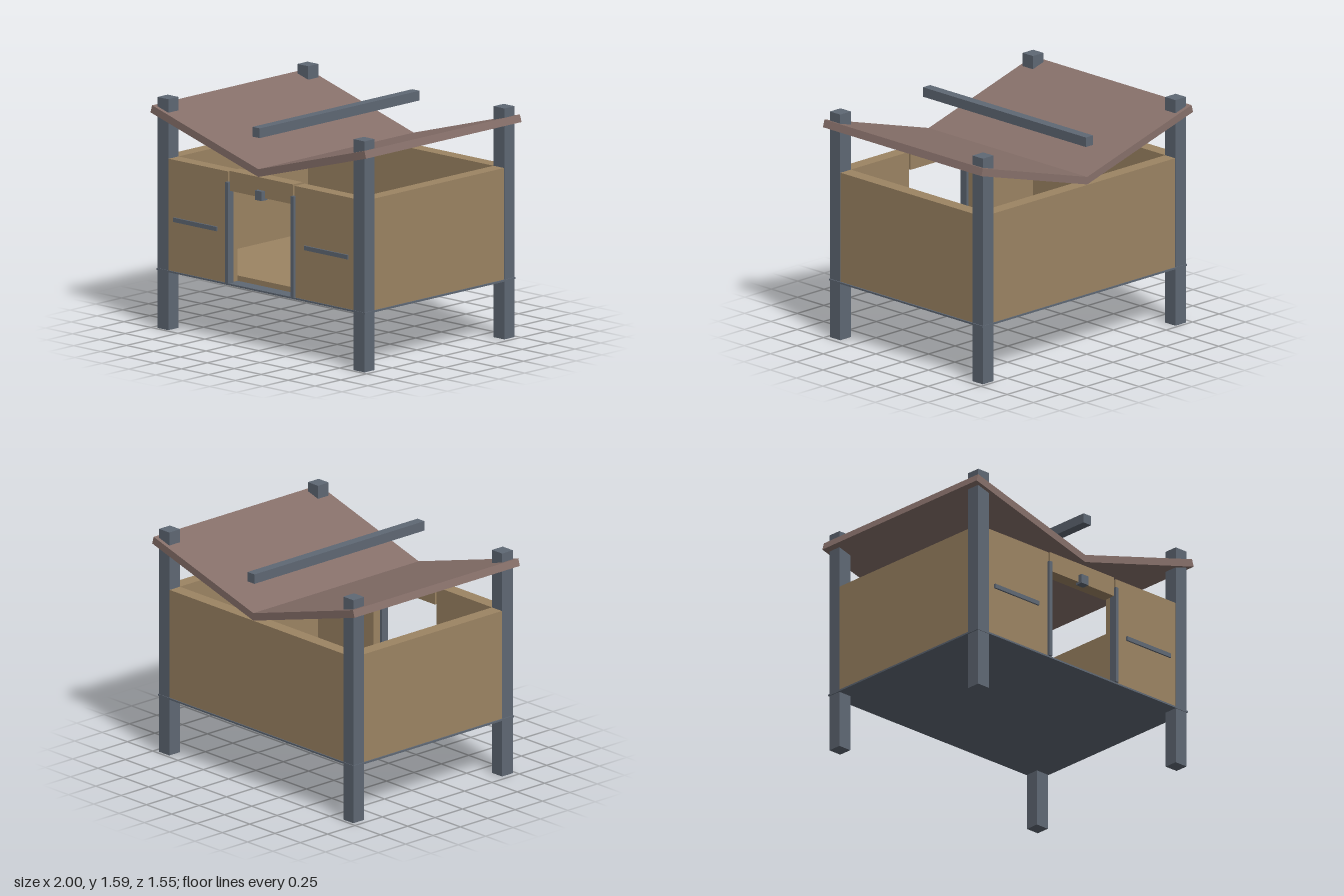
import * as THREE from 'three';

const slate = new THREE.MeshStandardMaterial({ color: 0x5f6874 });
slate.name = 'slate';
const tan = new THREE.MeshStandardMaterial({ color: 0x9c8463 });
tan.name = 'tan wood';
const brown = new THREE.MeshStandardMaterial({ color: 0x87706a });
brown.name = 'roof brown';

export function createModel() {
  const model = new THREE.Group();
  model.name = 'raisedHut';

  // Box given by its min and max on each axis
  function box(name, material, [x0, x1], [y0, y1], [z0, z1]) {
    const mesh = new THREE.Mesh(new THREE.BoxGeometry(x1 - x0, y1 - y0, z1 - z0), material);
    mesh.position.set((x0 + x1) / 2, (y0 + y1) / 2, (z0 + z1) / 2);
    mesh.name = name;
    model.add(mesh);
    return mesh;
  }
  // Range on one side of the centre, mirrored by sign
  const side = (s, a, b) => (s > 0 ? [a, b] : [-b, -a]);

  const wallY = [0.412, 1.18];
  const wallZ = [0.63, 0.725];

  // Base plate and raised inner floor
  box('basePlate', slate, [-0.967, 0.967], [0.4, 0.412], [-0.732, 0.732]);
  box('innerFloor', tan, [-0.86, 0.86], [0.412, 0.448], [-0.63, 0.63]);

  // Back wall
  box('backWall', tan, [-0.86, 0.86], wallY, [-0.725, -0.63]);

  for (const s of [-1, 1]) {
    // Corner posts
    for (const t of [-1, 1]) {
      box('cornerPost', slate, side(s, 0.86, 0.96), [0, 1.59], side(t, 0.63, 0.728));
    }
    // Side wall and front panel with its slot bar
    box('sideWall', tan, side(s, 0.86, 0.957), wallY, [-0.63, 0.63]);
    box('frontPanel', tan, side(s, 0.31, 0.86), wallY, wallZ);
    box('panelBar', slate, side(s, 0.405, 0.81), [0.755, 0.785], [0.72, 0.737]);
    // Door jamb
    box('doorJamb', slate, side(s, 0.292, 0.317), [0.412, 1.11], [0.69, 0.745]);
  }

  // Lintel and the block on its face
  box('lintel', tan, [-0.295, 0.295], [1.05, 1.187], wallZ);
  box('lintelBlock', slate, [-0.032, 0.032], [1.035, 1.1], [0.7, 0.755]);

  // Valley roof, extruded front to back
  const v = new THREE.Shape([
    [0, 1.197], [1, 1.482], [0.985, 1.533], [0, 1.25], [-0.985, 1.533], [-1, 1.482],
  ].map(([x, y]) => new THREE.Vector2(x, y)));
  const roof = new THREE.Mesh(
    new THREE.ExtrudeGeometry(v, { depth: 1.51, bevelEnabled: false }), brown);
  roof.position.z = -0.755;
  roof.name = 'valleyRoof';
  model.add(roof);

  // Beam above the valley
  box('ridgeBeam', slate, [-0.034, 0.034], [1.473, 1.54], [-0.776, 0.776]);

  return model;
}
